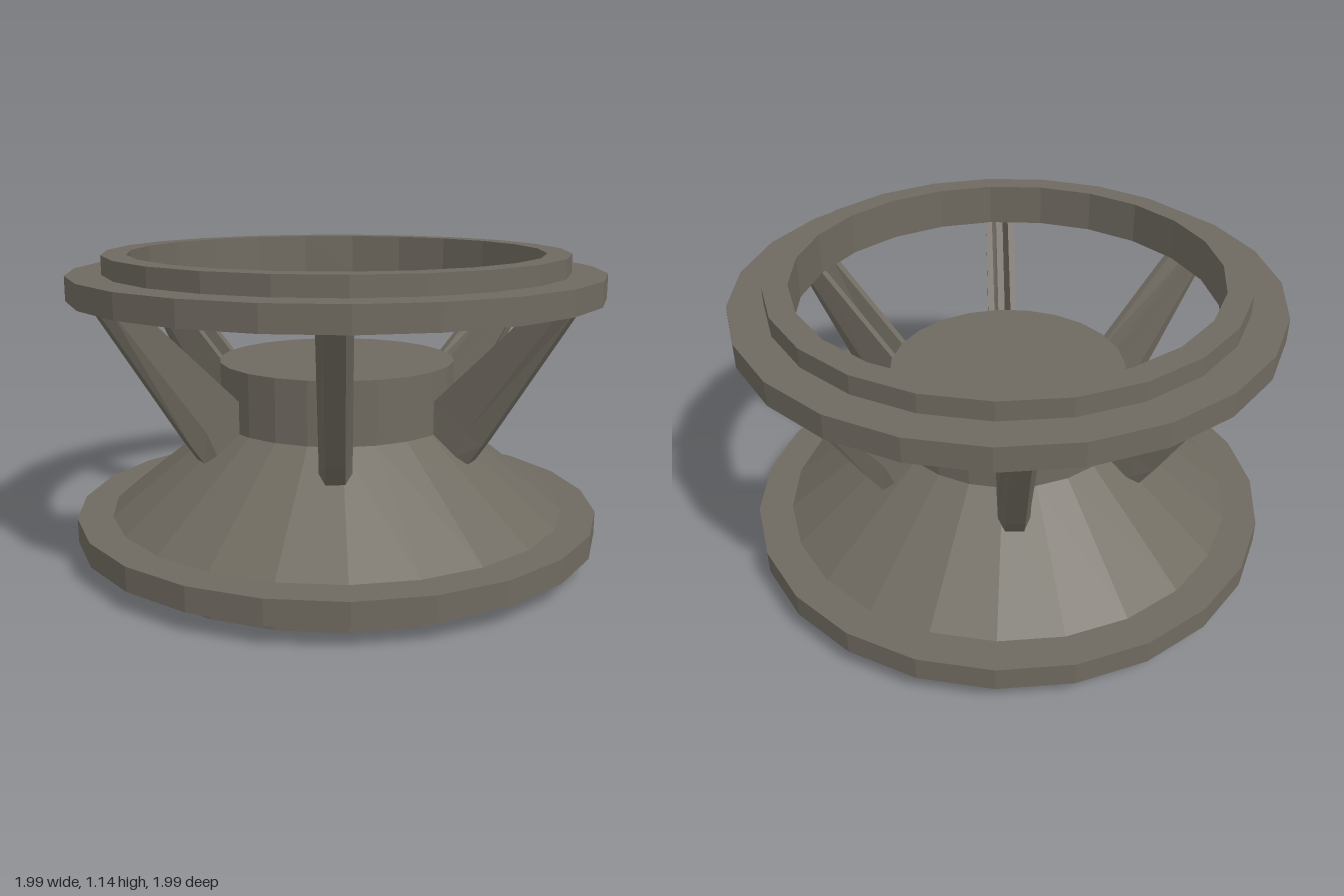
import * as THREE from 'three';

const SIDES = 23;
const material = new THREE.MeshStandardMaterial({ color: 0x6f6a60, flatShading: true, side: THREE.DoubleSide });

function turned(name, profile) {
  const points = profile.map(([r, y]) => new THREE.Vector2(r, y));
  const phase = THREE.MathUtils.degToRad(88.5);
  const mesh = new THREE.Mesh(new THREE.LatheGeometry(points, SIDES, phase), material);
  mesh.name = name;
  return mesh;
}

// Strut: one grooved cross-section lofted from the cone, past the hub, up to the ring
function strutGeometry() {
  // [fraction from inner to outer edge, half-width offset]
  const half = [[0.6, 0.014], [0, 0.034], [0, 0.06], [0.7, 0.058], [1, 0.034]];
  const section = [
    ...half.map(([t, w]) => [t, -w]),
    ...half.slice().reverse(),
  ];
  // inner and outer edge of each station, as [radius, height]
  const stations = [
    [[0.44, 0.5], [0.568, 0.395]],
    [[0.44, 0.62], [0.625, 0.478]],
    [[0.81, 0.99], [0.945, 0.99]],
  ];
  const positions = [], index = [], n = section.length;
  for (const [a, b] of stations)
    for (const [t, w] of section)
      positions.push(a[0] + (b[0] - a[0]) * t, a[1] + (b[1] - a[1]) * t, w);
  for (let s = 0; s < stations.length - 1; s++)
    for (let i = 0; i < n; i++) {
      const p = s * n + i, q = s * n + (i + 1) % n;
      index.push(p, p + n, q, q, p + n, q + n);
    }
  const geometry = new THREE.BufferGeometry();
  geometry.setAttribute('position', new THREE.Float32BufferAttribute(positions, 3));
  geometry.setIndex(index);
  geometry.computeVertexNormals();
  return geometry;
}

export function createModel() {
  const model = new THREE.Group();
  model.name = 'strutFrame';

  // Base: hollow cone with stepped rim, capped hub and a flanged socket underneath
  model.add(turned('base', [
    [0, 0.15], [0.195, 0.15], [0.195, 0.035], [0.29, 0.035], [0.29, 0.09],
    [0.355, 0.09], [0.355, 0.13], [0.29, 0.13], [0.29, 0.47], [0.4, 0.47],
    [0.78, 0.165], [0.78, 0], [0.87, 0], [0.87, 0.075], [1, 0.075],
    [1, 0.165], [0.87, 0.165], [0.45, 0.5], [0.45, 0.735], [0, 0.735],
  ]));

  // Upper ring: stepped rim, open in the middle
  model.add(turned('upperRing', [
    [0.78, 0.985], [1, 0.985], [1, 1.075], [0.87, 1.075],
    [0.87, 1.145], [0.78, 1.145], [0.78, 0.985],
  ]));

  // Six struts around the hub
  const geometry = strutGeometry();
  for (let i = 0; i < 6; i++) {
    const strut = new THREE.Mesh(geometry, material);
    strut.name = `strut${i + 1}`;
    strut.rotation.y = THREE.MathUtils.degToRad(6 + 60 * i);
    model.add(strut);
  }
  return model;
}
